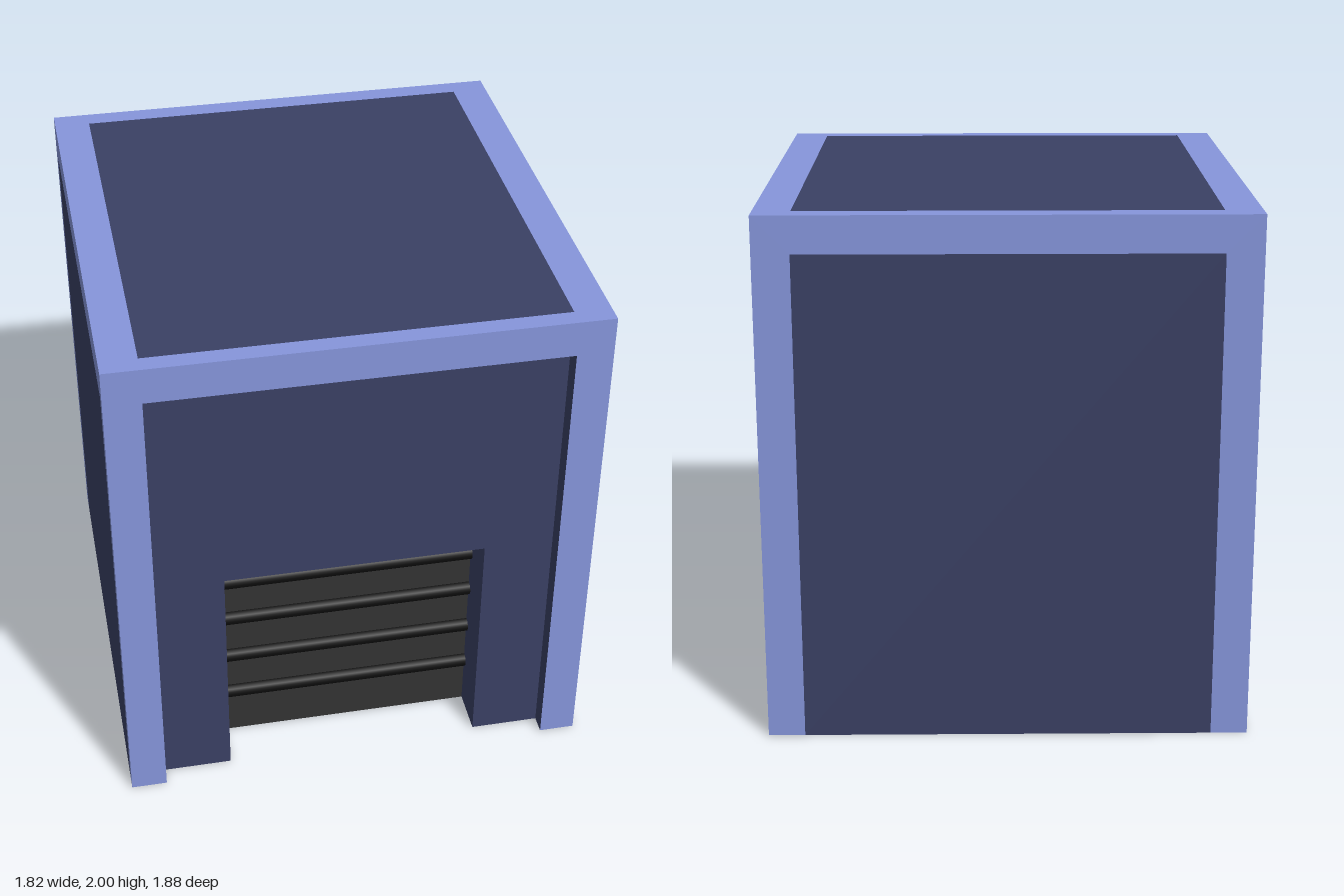
import * as THREE from 'three';

const W = 0.908, D = 0.94, H = 2;        // half width, half depth, height
const FX = 0.77, FY = 1.86;              // inner edge of the border, front and back
const WALL_Z = 0.87, DOOR_Z = 0.69;      // set-back planes
const DX = 0.502, DY = 0.957;            // door opening

const frameMat = new THREE.MeshStandardMaterial({ color: 0x8696dc });
const wallMat = new THREE.MeshStandardMaterial({ color: 0x3a4064 });
const doorMat = new THREE.MeshStandardMaterial({ color: 0x333333 });
const slatMat = new THREE.MeshStandardMaterial({ color: 0x0e0e0e });

const polygon = pts => new THREE.Shape(pts.map(p => new THREE.Vector2(...p)));
const rect = (x0, x1, y0, y1) => polygon([[x0, y0], [x1, y0], [x1, y1], [x0, y1]]);

// Upside-down U standing on y = 0 round the opening x0..x1, 0..top
const arch = (half, height, x0, x1, top) => polygon([
  [-half, 0], [x0, 0], [x0, top], [x1, top], [x1, 0], [half, 0], [half, height], [-half, height],
]);

function add(parent, name, shape, mat) {
  const mesh = new THREE.Mesh(new THREE.ShapeGeometry(shape), mat);
  mesh.name = name;
  parent.add(mesh);
  return mesh;
}

// Jambs and lintel lining an opening between two depths
function reveal(parent, name, half, top, z0, z1) {
  const group = new THREE.Group();
  group.name = name;
  const d = z1 - z0, z = (z0 + z1) / 2;
  for (const s of [-1, 1]) {
    const jamb = new THREE.Mesh(new THREE.PlaneGeometry(d, top), wallMat);
    jamb.position.set(s * half, top / 2, z);
    jamb.rotation.y = -s * Math.PI / 2;
    group.add(jamb);
  }
  const lintel = new THREE.Mesh(new THREE.PlaneGeometry(2 * half, d), wallMat);
  lintel.position.set(0, top, z);
  lintel.rotation.x = Math.PI / 2;
  group.add(lintel);
  parent.add(group);
}

export function createModel() {
  const model = new THREE.Group();
  model.name = 'garage';

  // Front: border, set-back wall and deeper door
  add(model, 'frontFrame', arch(W, H, -FX, FX, FY), frameMat).position.z = D;
  reveal(model, 'frontReveal', FX, FY, WALL_Z, D);
  add(model, 'frontWall', arch(FX, FY, -DX, DX, DY), wallMat).position.z = WALL_Z;
  reveal(model, 'doorReveal', DX, DY, DOOR_Z, WALL_Z);
  add(model, 'door', rect(-DX, DX, 0, DY), doorMat).position.z = DOOR_Z;

  // Round rails across the door
  for (const y of [0.217, 0.412, 0.608, 0.793]) {
    const rail = new THREE.Mesh(new THREE.CylinderGeometry(0.029, 0.029, 2 * DX, 16), slatMat);
    rail.name = 'doorRail';
    rail.rotation.z = Math.PI / 2;
    rail.position.set(0, y, DOOR_Z);
    model.add(rail);
  }

  // Back and sides: flush wall inside a pale border
  const walls = [
    ['right', W, 0, Math.PI / 2, D, -0.875, 0.86],
    ['left', -W, 0, -Math.PI / 2, D, -0.86, 0.875],
    ['back', 0, -D, Math.PI, W, -FX, FX],
  ];
  for (const [name, x, z, turn, half, x0, x1] of walls) {
    const side = new THREE.Group();
    side.name = name + 'Side';
    add(side, name + 'Frame', arch(half, H, x0, x1, FY), frameMat);
    add(side, name + 'Wall', rect(x0, x1, 0, FY), wallMat);
    side.position.set(x, 0, z);
    side.rotation.y = turn;
    model.add(side);
  }

  // Roof: flush panel inside a border
  const roof = new THREE.Group();
  roof.name = 'roof';
  const border = rect(-W, W, -D, D);
  border.holes.push(rect(-FX, FX, -WALL_Z, 0.86));
  add(roof, 'roofFrame', border, frameMat);
  add(roof, 'roofPanel', rect(-FX, FX, -WALL_Z, 0.86), wallMat);
  roof.position.y = H;
  roof.rotation.x = -Math.PI / 2;
  model.add(roof);

  // Underside, stepped to follow the front
  const base = add(model, 'base', polygon([
    [-W, -D], [W, -D], [W, D], [FX, D], [FX, WALL_Z], [DX, WALL_Z], [DX, DOOR_Z],
    [-DX, DOOR_Z], [-DX, WALL_Z], [-FX, WALL_Z], [-FX, D], [-W, D],
  ]), wallMat);
  base.rotation.x = Math.PI / 2;

  return model;
}
